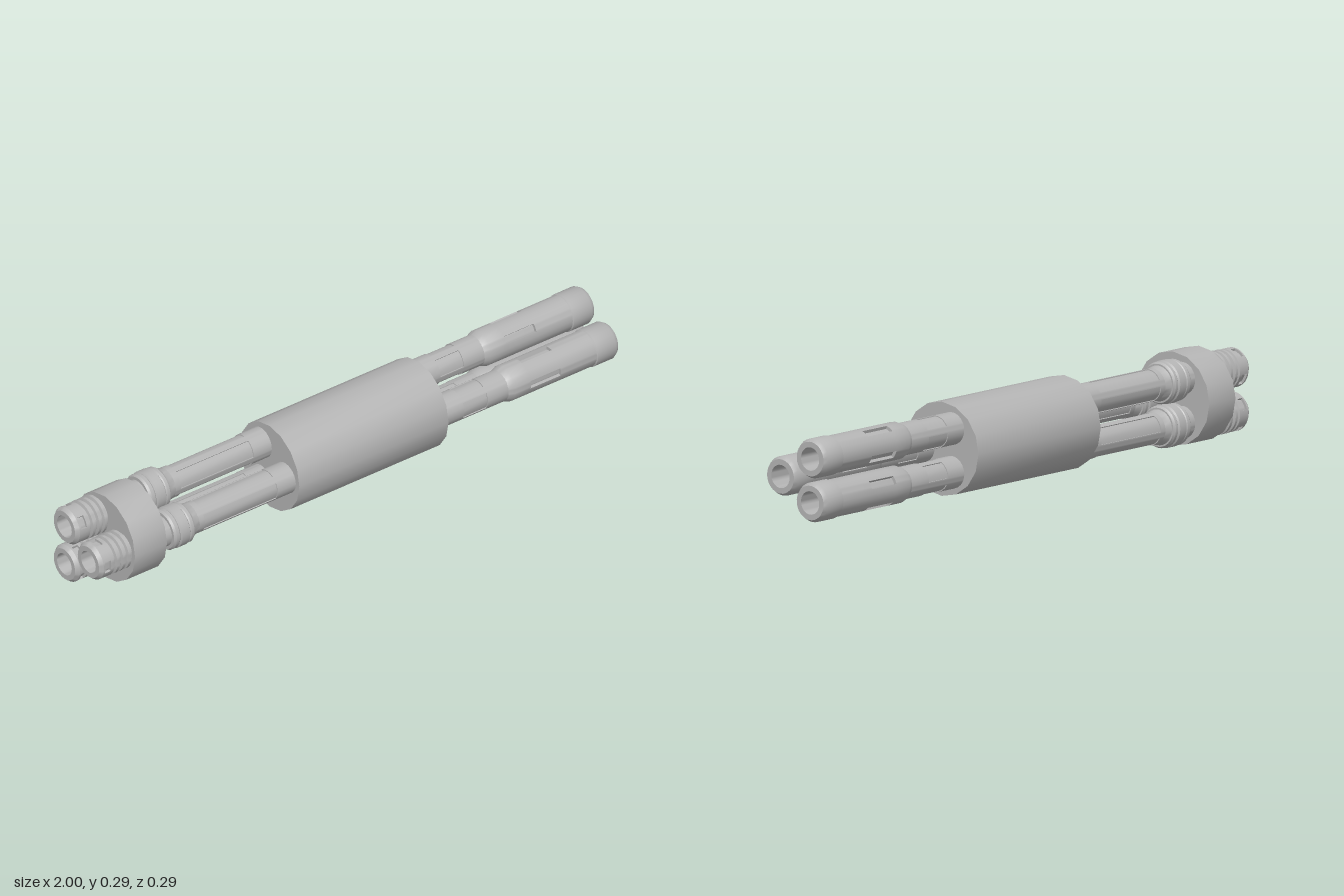
import * as THREE from 'three';
import { toCreasedNormals } from 'three/addons/utils/BufferGeometryUtils.js';

const BORE = 0.036, TUBE = 0.05, ORBIT = 0.078, RADIUS = 0.145;

// Surface turned about x. Rows are [x, radius, sunk]; sunk rows carry four
// pockets of the given half angle and depth, spaced a quarter turn apart.
function turned(rows, halfAngle = Math.PI / 8, depth = 0) {
  const cols = [];
  for (let q = 0; q < 4; q++) {
    const c = q * Math.PI / 2, gap = Math.PI / 2 - 2 * halfAngle;
    cols.push([c - halfAngle, 0]);
    for (const k of [-1, -0.5, 0, 0.5, 1]) cols.push([c + k * halfAngle, 1]);
    for (const k of [0, 0.25, 0.5, 0.75]) cols.push([c + halfAngle + k * gap, 0]);
  }
  cols.push([cols[0][0] + Math.PI * 2, 0]);
  const point = ([x, r, sunk], [a, inside]) => {
    const rad = r - (sunk && inside ? depth : 0);
    return new THREE.Vector3(x, rad * Math.sin(a), rad * Math.cos(a));
  };
  const pos = [];
  const tri = (a, b, c) => {
    const area = b.clone().sub(a).cross(c.clone().sub(a)).length();
    if (area > 1e-9) for (const p of [a, b, c]) pos.push(p.x, p.y, p.z);
  };
  for (let i = 0; i < rows.length - 1; i++) {
    for (let j = 0; j < cols.length - 1; j++) {
      const a = point(rows[i], cols[j]), b = point(rows[i + 1], cols[j]);
      const c = point(rows[i + 1], cols[j + 1]), d = point(rows[i], cols[j + 1]);
      tri(a, b, c);
      tri(a, c, d);
    }
  }
  const g = new THREE.BufferGeometry();
  g.setAttribute('position', new THREE.Float32BufferAttribute(pos, 3));
  return toCreasedNormals(g, 0.6);
}

// Rows for a plain pocket between two x positions
const pocket = (x0, x1, r) => [[x0, r, 0], [x0, r, 1], [x1, r, 1], [x1, r, 0]];

// Sixteen-sided drum pierced by the three barrels
function drum(x0, x1) {
  const outline = [];
  for (let i = 0; i < 16; i++) {
    const a = i * Math.PI / 8;
    outline.push(new THREE.Vector2(RADIUS * Math.cos(a), RADIUS * Math.sin(a)));
  }
  const shape = new THREE.Shape(outline);
  for (let i = 0; i < 3; i++) {
    const a = i * Math.PI * 2 / 3;
    const hole = new THREE.Path();
    hole.absarc(-ORBIT * Math.cos(a), ORBIT * Math.sin(a), 0.045, 0, Math.PI * 2, true);
    shape.holes.push(hole);
  }
  const g = new THREE.ExtrudeGeometry(shape, { depth: x1 - x0, bevelEnabled: false, curveSegments: 12 });
  g.rotateY(Math.PI / 2).translate(x0, 0, 0);
  return toCreasedNormals(g, 0.6);
}

export function createModel() {
  const model = new THREE.Group();
  const steel = new THREE.MeshStandardMaterial({ color: 0xb4b4b4 });
  steel.name = 'grey steel';
  const add = (parent, name, geometry) => {
    const mesh = new THREE.Mesh(geometry, steel);
    mesh.name = name;
    parent.add(mesh);
  };

  const cluster = new THREE.Group();
  cluster.name = 'barrelCluster';
  cluster.position.y = RADIUS;
  model.add(cluster);
  add(cluster, 'mainDrum', drum(-0.24, 0.335));
  add(cluster, 'rearDisc', drum(-0.873, -0.75));

  // Ridged breech: slotted cap followed by three rings
  const breechRows = [[-1, BORE, 0], [-1, 0.052, 0], [-0.988, 0.061, 0], ...pocket(-0.982, -0.96, 0.061), [-0.948, 0.061, 0], [-0.945, 0.053, 0]];
  for (const x of [-0.94, -0.917, -0.895]) {
    breechRows.push([x, 0.053, 0], [x + 0.003, 0.062, 0], [x + 0.013, 0.062, 0], [x + 0.016, 0.053, 0]);
  }
  breechRows.push([-0.87, 0.053, 0]);

  const parts = {
    breech: turned(breechRows, 0.32, 0.008),
    // Long tube with two sets of shallow panels
    tube: turned([[-0.88, TUBE, 0], ...pocket(-0.59, -0.31, TUBE), ...pocket(0.41, 0.5, TUBE), [0.59, TUBE, 0]], 0.57, 0.003),
    collar: turned([[-0.717, TUBE, 0], [-0.717, 0.06, 0], [-0.71, 0.065, 0], [-0.698, 0.065, 0], [-0.694, 0.062, 0],
      [-0.69, 0.067, 0], [-0.66, 0.067, 0], [-0.656, 0.062, 0], [-0.652, 0.065, 0], [-0.642, 0.065, 0], [-0.635, 0.06, 0],
      [-0.635, 0.055, 0], [-0.61, TUBE, 0]]),
    muzzleSleeve: turned([[0.58, TUBE, 0], [0.6, 0.058, 0], ...pocket(0.66, 0.775, 0.058), [0.915, 0.058, 0]], 0.23, 0.01),
    muzzleCap: turned([[0.912, 0.056, 0], [0.916, 0.061, 0], [0.986, 0.061, 0], [1, 0.053, 0], [1, BORE, 0]]),
    bore: turned([[1, BORE, 0], [-1, BORE, 0]]),
  };

  // Three identical barrels, each turned a third of the way round
  for (let i = 0; i < 3; i++) {
    const pivot = new THREE.Group();
    pivot.name = 'barrelPivot' + (i + 1);
    pivot.rotation.x = i * Math.PI * 2 / 3;
    const barrel = new THREE.Group();
    barrel.name = 'barrel' + (i + 1);
    barrel.position.z = ORBIT;
    for (const [name, geometry] of Object.entries(parts)) add(barrel, name, geometry);
    pivot.add(barrel);
    cluster.add(pivot);
  }
  return model;
}
